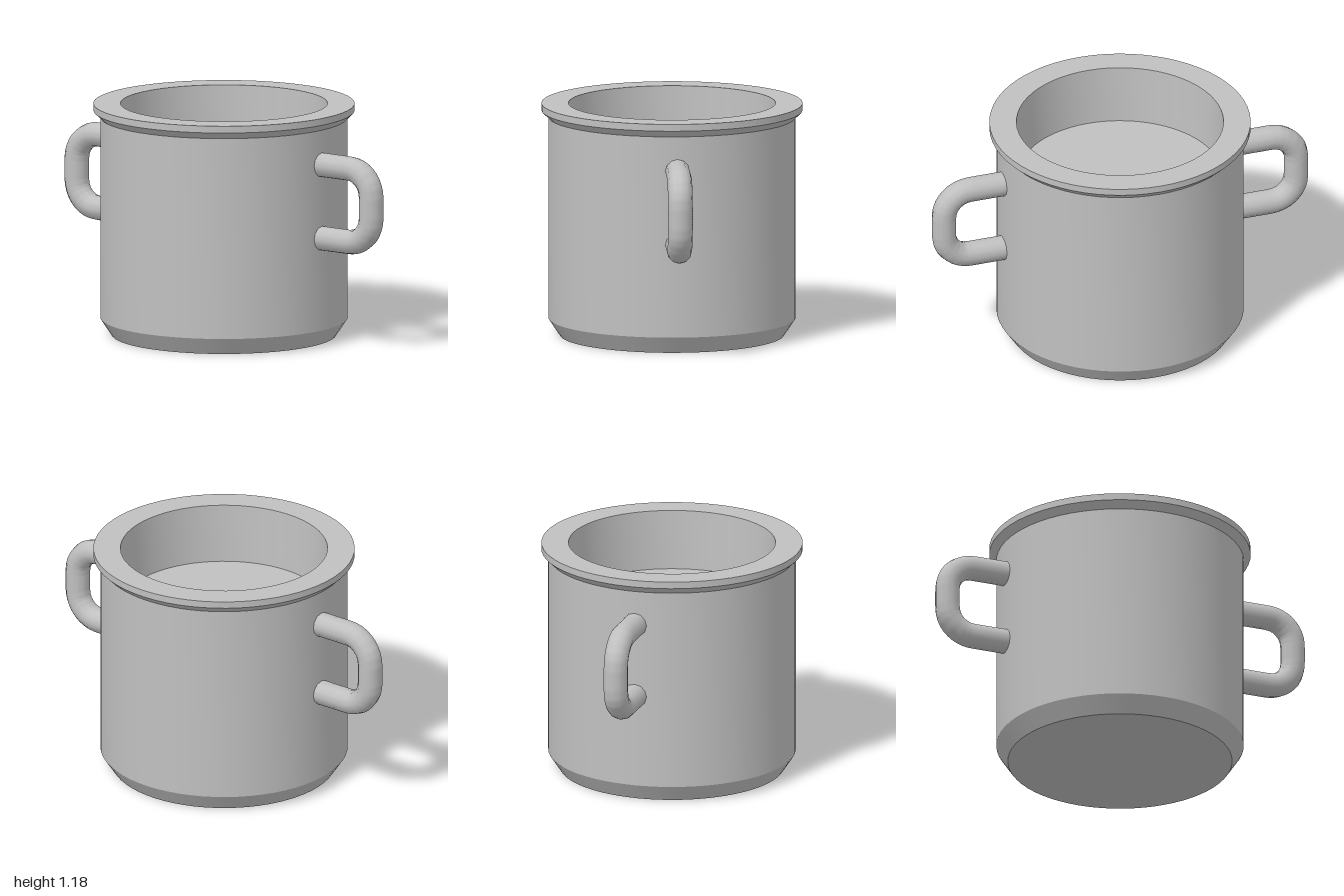
import * as THREE from 'three';
import { toCreasedNormals } from 'three/addons/utils/BufferGeometryUtils.js';

export function createModel() {
  const model = new THREE.Group();
  model.name = 'cookingPot';
  const metal = new THREE.MeshStandardMaterial({ color: 0xc0c0c0 });
  metal.name = 'grey metal';

  // Pot body: bevelled base, wall, flared rim and shallow recess in one turned profile
  const profile = [
    [0, 0], [0.567, 0], [0.625, 0.087], [0.625, 1.115],
    [0.66, 1.15], [0.66, 1.185], [0.523, 1.185], [0.51, 0.88], [0, 0.88],
  ].map(([r, y]) => new THREE.Vector2(r, y));
  const body = new THREE.Mesh(toCreasedNormals(new THREE.LatheGeometry(profile, 64), 0.45), metal);
  body.name = 'potBody';
  model.add(body);

  // Handle path: two arms joined by rounded corners, ends sunk into the wall
  const inner = 0.57, outer = 0.937, low = 0.56, high = 0.937, bend = 0.135;
  const corner = (cy, start) => Array.from({ length: 7 }, (_, i) => {
    const a = start + (i / 6) * Math.PI / 2;
    return new THREE.Vector3(outer - bend + bend * Math.cos(a), cy + bend * Math.sin(a), 0);
  });
  const points = [
    new THREE.Vector3(inner, low, 0),
    ...corner(low + bend, -Math.PI / 2),
    ...corner(high - bend, 0),
    new THREE.Vector3(inner, high, 0),
  ];
  const path = new THREE.CurvePath();
  for (let i = 1; i < points.length; i++) path.add(new THREE.LineCurve3(points[i - 1], points[i]));
  const handleGeometry = new THREE.TubeGeometry(path, 72, 0.0625, 12, false);

  // One handle on each side
  for (const [name, turn] of [['leftHandle', 0], ['rightHandle', Math.PI]]) {
    const handle = new THREE.Mesh(handleGeometry, metal);
    handle.name = name;
    handle.rotation.y = turn;
    model.add(handle);
  }
  return model;
}
